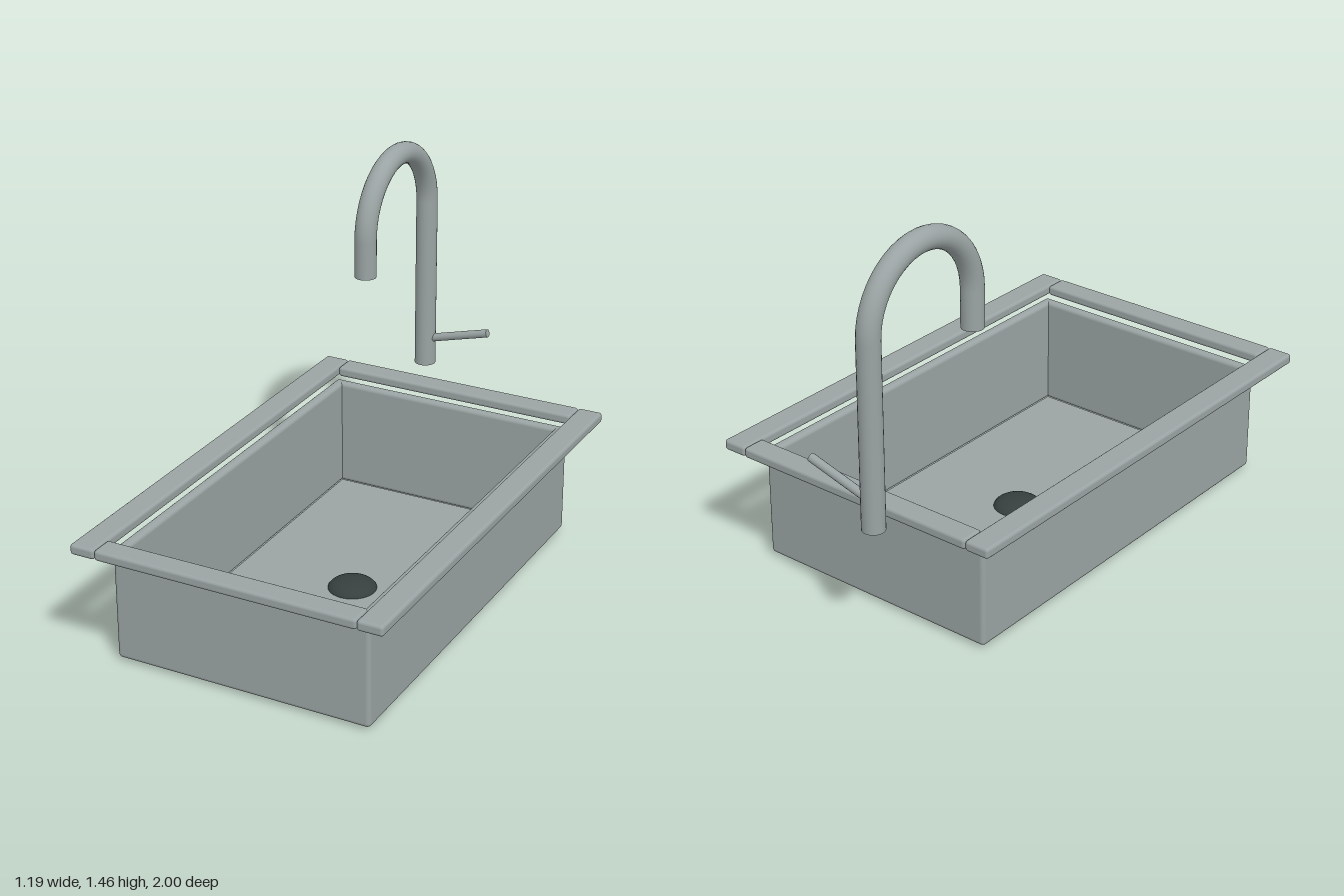
import * as THREE from 'three';
import { RoundedBoxGeometry } from 'three/addons/geometries/RoundedBoxGeometry.js';

export function createModel() {
  const model = new THREE.Group();
  model.name = 'kitchenSink';

  const steel = new THREE.MeshStandardMaterial({ color: 0x9aa3a3 });
  steel.name = 'brushedSteel';
  steel.side = THREE.DoubleSide;
  const dark = new THREE.MeshStandardMaterial({ color: 0x363e3e });
  dark.name = 'darkDrain';

  const add = (name, geometry, material, parent = model) => {
    const mesh = new THREE.Mesh(geometry, material);
    mesh.name = name;
    parent.add(mesh);
    return mesh;
  };

  // Rounded slab given by its minimum and maximum corners
  const slab = (name, min, max, radius, parent) => {
    const size = max.map((v, i) => v - min[i]);
    const mesh = add(name, new RoundedBoxGeometry(...size, 3, radius), steel, parent);
    mesh.position.set(...max.map((v, i) => (v + min[i]) / 2));
  };

  // Frame of four slabs around a rectangular opening; long sides run full length
  const frame = (name, x, z0, z1, y0, y1, width, radius, overlap) => {
    const group = new THREE.Group();
    group.name = name;
    model.add(group);
    slab(name + 'Right', [-x, y0, z0], [-x + width[0], y1, z1], radius, group);
    slab(name + 'Left', [x - width[0], y0, z0], [x, y1, z1], radius, group);
    const inner = x - width[0] + overlap;
    slab(name + 'Back', [-inner, y0, z0], [inner, y1, z0 + width[1]], radius, group);
    slab(name + 'Front', [-inner, y0, z1 - width[1]], [inner, y1, z1], radius, group);
  };

  // Counter rim, basin walls and thin floor
  frame('rim', 0.597, -0.83, 1.0, 0.44, 0.48, [0.097, 0.09], 0.012, 0);
  frame('basinWall', 0.495, -0.728, 0.895, 0.01, 0.44, [0.04, 0.04], 0.016, 0.04);
  slab('basinFloor', [-0.457, 0, -0.69], [0.457, 0.016, 0.857], 0.006, model);

  // Domed drain cover
  const drain = add('drain', new THREE.SphereGeometry(0.092, 32, 12, 0, Math.PI * 2, 0, Math.PI / 2), dark);
  drain.scale.y = 0.45;
  drain.position.set(0, 0.01, 0.083);

  // Gooseneck faucet: open pipe with a post, a half-circle bend and a short spout
  const faucet = new THREE.Group();
  faucet.name = 'faucet';
  faucet.position.set(-0.221, 0, -0.957);
  model.add(faucet);

  const pipe = 0.0415, bend = 0.2575, bendY = 1.163;
  const pipeSection = (name, y0, y1, z) => {
    const mesh = add(name, new THREE.CylinderGeometry(pipe, pipe, y1 - y0, 24, 1, true), steel, faucet);
    mesh.position.set(0, (y0 + y1) / 2, z);
  };
  pipeSection('post', 0.478, bendY, 0);
  pipeSection('spout', 1.02, bendY, 2 * bend);
  const neck = add('neck', new THREE.TorusGeometry(bend, pipe, 24, 24, Math.PI), steel, faucet);
  neck.rotation.y = Math.PI / 2;
  neck.position.set(0, bendY, bend);

  // Slanted lever handle
  const from = new THREE.Vector3(0, 0.58, 0), to = new THREE.Vector3(0.272, 0.653, 0);
  const along = to.clone().sub(from);
  const lever = add('lever', new THREE.CylinderGeometry(0.016, 0.016, along.length(), 16), steel, faucet);
  lever.position.copy(from).add(to).multiplyScalar(0.5);
  lever.quaternion.setFromUnitVectors(new THREE.Vector3(0, 1, 0), along.normalize());

  return model;
}
